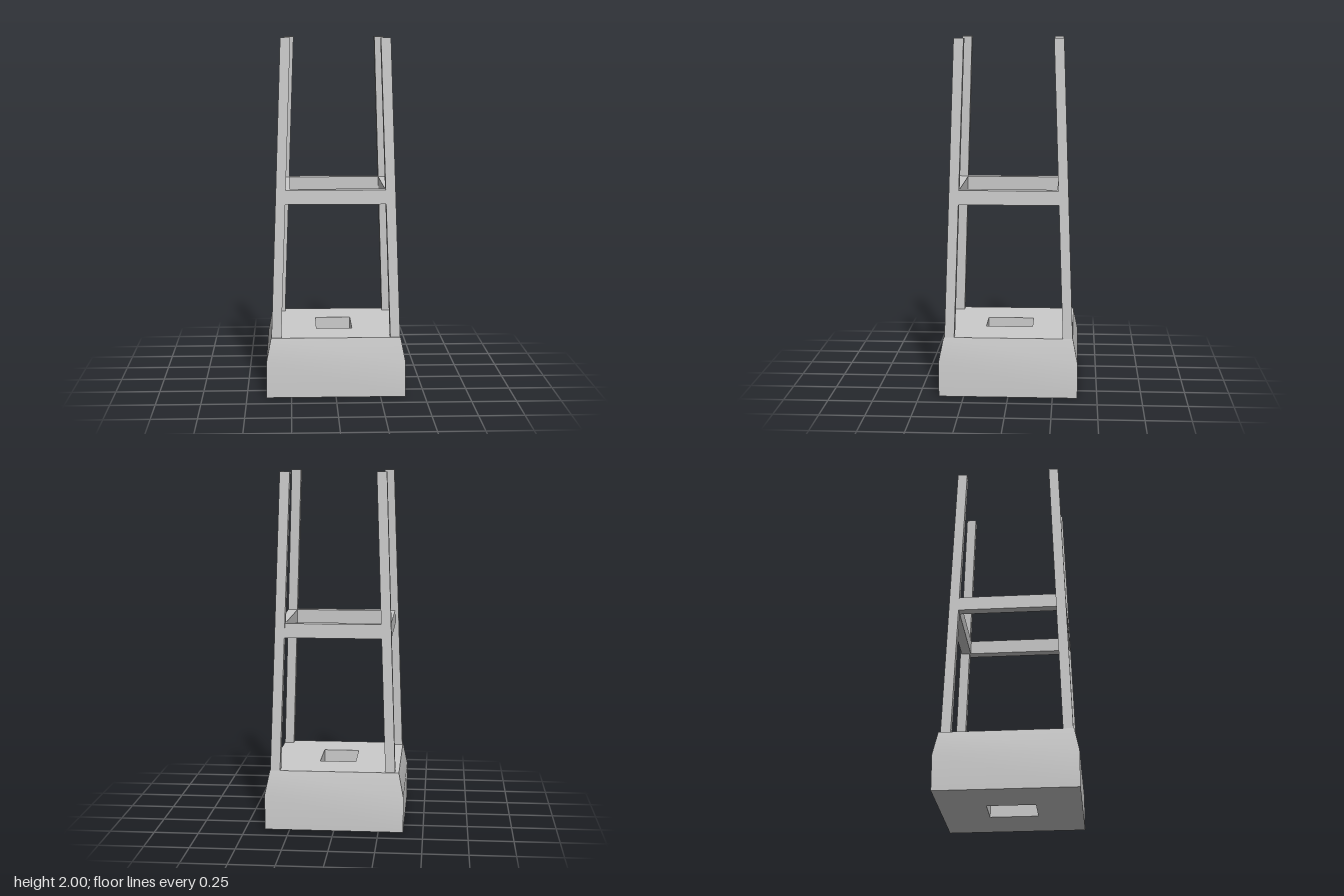
import * as THREE from 'three';
import { toCreasedNormals } from 'three/addons/utils/BufferGeometryUtils.js';

const BASE_H = 0.335, SHOULDER = 0.2, TOP = 2, LEG = 0.055, LEAN = 0.058;
const material = new THREE.MeshStandardMaterial({ color: 0xcccccc });

function part(geometry, name) {
  const mesh = new THREE.Mesh(geometry, material);
  mesh.name = name;
  return mesh;
}

// Box whose vertices slide sideways with height: dx, dz are slopes per unit of y.
function leaningBox(w, h, d, dx, dz) {
  const geo = new THREE.BoxGeometry(w, h, d).toNonIndexed();
  const p = geo.attributes.position;
  for (let i = 0; i < p.count; i++) {
    const y = p.getY(i);
    p.setX(i, p.getX(i) + dx * y);
    p.setZ(i, p.getZ(i) + dz * y);
  }
  geo.computeVertexNormals();
  return geo;
}

function rectangle(Type, x0, x1, y0, y1) {
  return new Type([[x0, y0], [x1, y0], [x1, y1], [x0, y1]].map(([x, y]) => new THREE.Vector2(x, y)));
}

// Square block with a through hole and sides that taper above the shoulder.
function makeBase() {
  const shape = rectangle(THREE.Shape, -0.39, 0.39, -0.39, 0.39);
  shape.holes.push(rectangle(THREE.Path, -0.105, 0.1, -0.14, 0.128));
  const geo = new THREE.ExtrudeGeometry(shape, { depth: BASE_H, steps: 2, bevelEnabled: false });
  geo.rotateX(-Math.PI / 2);
  const p = geo.attributes.position;
  for (let i = 0; i < p.count; i++) {
    const y = p.getY(i);
    if (y > 0.1 && y < 0.3) p.setY(i, SHOULDER);
    if (y > 0.3 && Math.abs(p.getX(i)) > 0.3) {
      p.setX(i, p.getX(i) * 0.363 / 0.39);
      p.setZ(i, p.getZ(i) * 0.363 / 0.39);
    }
  }
  return part(toCreasedNormals(geo, 0.5), 'base');
}

export function createModel() {
  const group = new THREE.Group();
  group.add(makeBase());

  // Legs lean inward; each is placed by the centre of its top end.
  const slope = LEAN / (TOP - BASE_H);
  const height = TOP - BASE_H + 0.01;
  const legs = [
    ['frontLeftLeg', 0.275, 0.273],
    ['frontRightLeg', -0.275, 0.273],
    ['backLeftLeg', 0.275, -0.276],
    ['backRightLeg', -0.256, -0.269],
  ];
  for (const [name, x, z] of legs) {
    const sx = Math.sign(x), sz = Math.sign(z);
    const leg = part(leaningBox(LEG, height, LEG, -sx * slope, -sz * slope), name);
    leg.position.set(x + sx * slope * height / 2, TOP - height / 2, z + sz * slope * height / 2);
    group.add(leg);
  }

  // Rails tie the legs together at mid height and follow their lean.
  const railY = 1.125, railH = 0.08;
  const rails = [
    ['frontRail', -0.3, 0.3, 0.3025, false],
    ['backRail', -0.285, 0.3, -0.2985, false],
    ['leftRail', -0.3, 0.3, 0.3045, true],
    ['rightRail', -0.295, 0.3, -0.2855, true],
  ];
  for (const [name, from, to, offset, alongZ] of rails) {
    const s = -Math.sign(offset) * slope, mid = (from + to) / 2, length = to - from;
    const rail = part(alongZ
      ? leaningBox(LEG, railH, length, s, 0)
      : leaningBox(length, railH, LEG, 0, s), name);
    rail.position.set(alongZ ? offset : mid, railY, alongZ ? mid : offset);
    group.add(rail);
  }
  return group;
}
